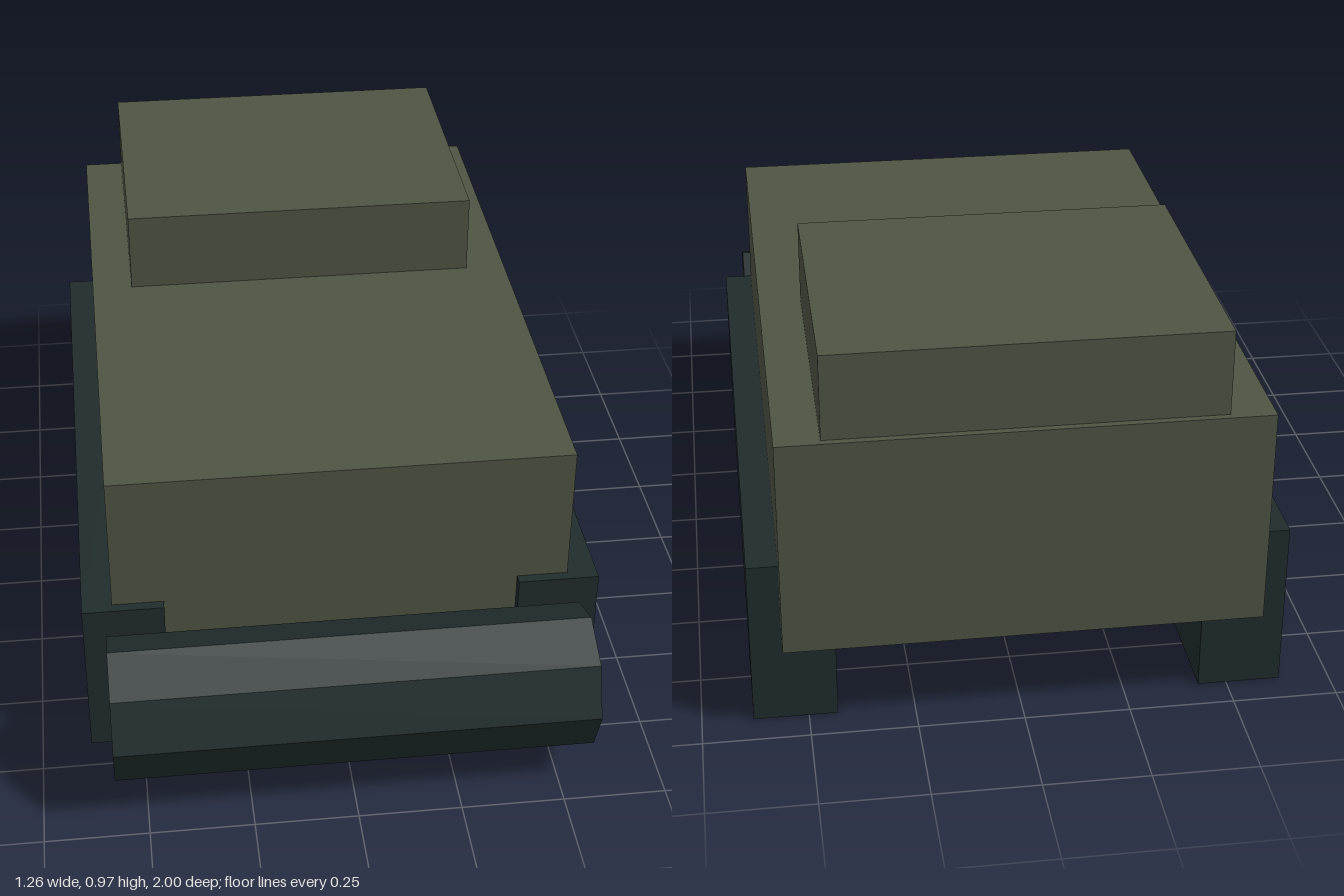
import * as THREE from 'three';

export function createModel() {
  const olive = new THREE.MeshStandardMaterial({ color: 0x4e5544, flatShading: true });
  olive.name = 'olive';
  const darkSteel = new THREE.MeshStandardMaterial({ color: 0x212c2d, flatShading: true });
  darkSteel.name = 'darkSteel';

  const model = new THREE.Group();
  model.name = 'rollerVehicle';

  // Box given by its lower and upper corners
  const addBox = (name, material, [x0, y0, z0], [x1, y1, z1]) => {
    const mesh = new THREE.Mesh(new THREE.BoxGeometry(x1 - x0, y1 - y0, z1 - z0), material);
    mesh.position.set((x0 + x1) / 2, (y0 + y1) / 2, (z0 + z1) / 2);
    mesh.name = name;
    model.add(mesh);
  };

  // Hull and the raised cabin at its rear
  addBox('hull', olive, [-0.557, 0.233, -1], [0.557, 0.765, 0.647]);
  addBox('cabin', olive, [-0.454, 0.765, -0.983], [0.454, 0.97, -0.263]);

  // Track blocks on both sides
  addBox('leftTrack', darkSteel, [0.432, 0, -0.922], [0.63, 0.415, 0.672]);
  addBox('rightTrack', darkSteel, [-0.63, 0, -0.922], [-0.432, 0.415, 0.672]);

  // Eight-sided roller across the front
  const roller = new THREE.Mesh(new THREE.CylinderGeometry(0.17, 0.17, 1.15, 8), darkSteel);
  roller.rotation.z = Math.PI / 2;
  roller.position.set(0, 0.25, 0.83);
  roller.name = 'frontRoller';
  model.add(roller);

  return model;
}
